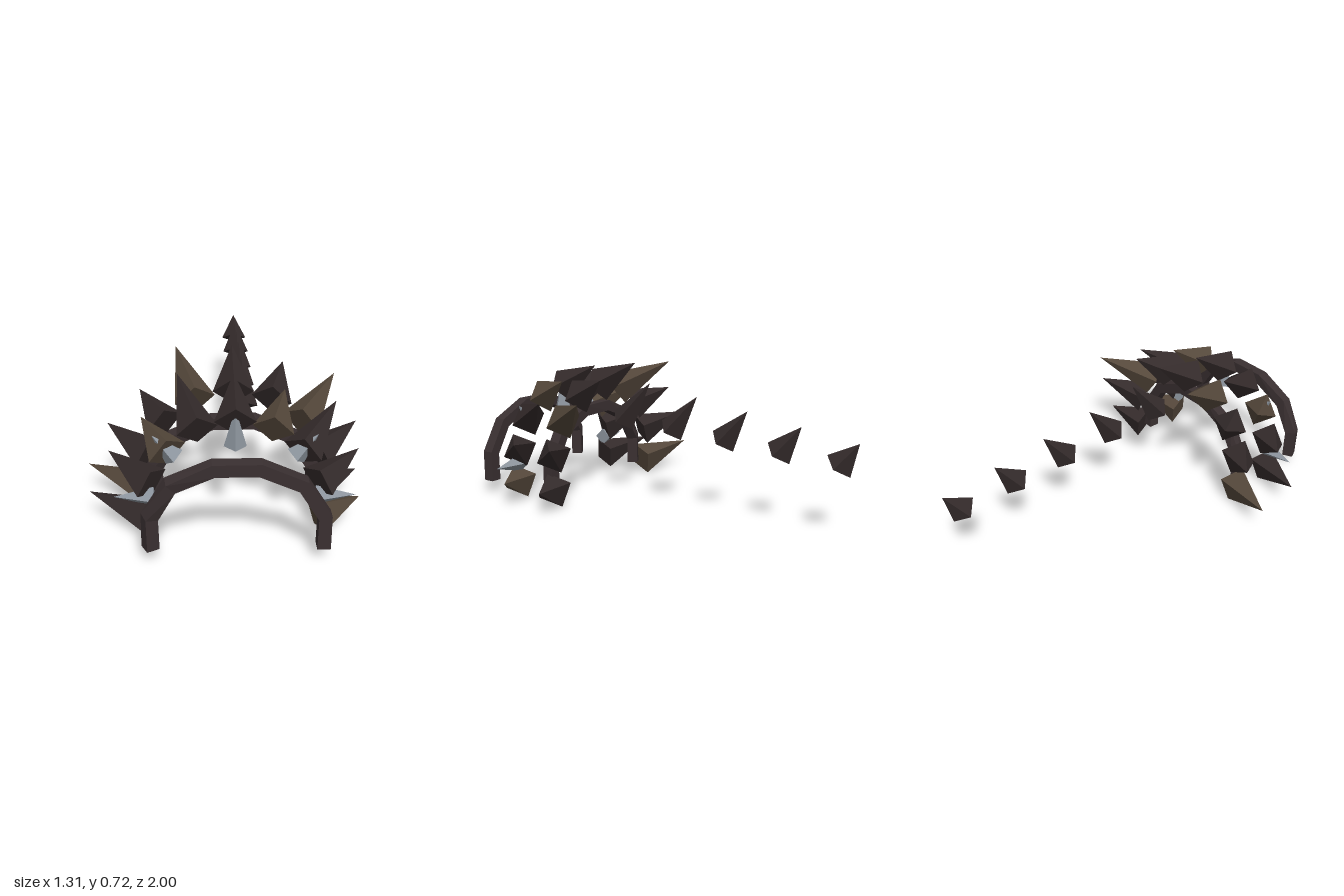
import * as THREE from 'three';

const mat = (name, color) => new THREE.MeshStandardMaterial({ name, color });

// Faceted copy of a geometry
function faceted(geometry) {
  const g = geometry.index ? geometry.toNonIndexed() : geometry;
  g.computeVertexNormals();
  return g;
}

// Four-sided spike whose base centre is the origin
function spike(radius, length, material, name) {
  const g = new THREE.ConeGeometry(radius, length, 4);
  g.translate(0, length / 2, 0);
  const m = new THREE.Mesh(faceted(g), material);
  m.name = name;
  return m;
}

const CX = 0.037; // middle of the arches and claw rows

// Square bar swept along an arch, twisting towards its right foot
function archGeometry() {
  const path = [
    [-0.366, 0.075], [-0.366, 0.228], [-0.277, 0.38], [-0.097, 0.46],
    [0.097, 0.46], [0.277, 0.38], [0.372, 0.228], [0.372, 0.075],
  ].map(([x, y]) => new THREE.Vector2(x, y));
  const twist = [0.5, 0.45, 0.2, 0.03, 0, 0, 0, 0];
  const half = 0.029;
  const pos = [], idx = [];
  path.forEach((p, i) => {
    const a = path[Math.max(i - 1, 0)], b = path[Math.min(i + 1, path.length - 1)];
    const t = b.clone().sub(a).normalize();
    const nx = -t.y, ny = t.x; // outward
    const c = Math.cos(twist[i]) * half, s = Math.sin(twist[i]) * half;
    for (const [u, v] of [[1, 1], [-1, 1], [-1, -1], [1, -1]]) {
      const r = u * c - v * s, z = u * s + v * c;
      pos.push(CX + p.x + nx * r, p.y + ny * r, z);
    }
  });
  for (let i = 0; i < path.length - 1; i++) {
    for (let k = 0; k < 4; k++) {
      const a = i * 4 + k, b = i * 4 + (k + 1) % 4;
      idx.push(a, b, b + 4, a, b + 4, a + 4);
    }
  }
  const e = (path.length - 1) * 4;
  idx.push(0, 2, 1, 0, 3, 2, e, e + 1, e + 2, e, e + 2, e + 3);
  const g = new THREE.BufferGeometry();
  g.setAttribute('position', new THREE.Float32BufferAttribute(pos, 3));
  g.setIndex(idx);
  return faceted(g);
}

export function createModel() {
  const model = new THREE.Group();
  model.name = 'spikedCollar';
  const archMat = mat('dark band', 0x3a3031);
  archMat.side = THREE.DoubleSide;
  const darkMat = mat('dark horn', 0x342b2b);
  const brownMat = mat('brown horn', 0x55483b);
  const silverMat = mat('silver', 0x8c949d);

  // Two bands
  const arch = archGeometry();
  [['frontBand', 0.955], ['rearBand', 0.53]].forEach(([name, z]) => {
    const m = new THREE.Mesh(arch, archMat);
    m.name = name;
    m.position.z = z;
    model.add(m);
  });

  // Two rows of nine claws, leaning back and fanning out
  const rows = [
    { name: 'frontClaws', z: 0.747, radius: 0.385, lengths: [0.32, 0.265, 0.225], size: 0.092, brown: 2 },
    { name: 'rearClaws', z: 0.49, radius: 0.412, lengths: [0.335, 0.275, 0.23], size: 0.094, brown: 0 },
  ];
  for (const row of rows) {
    const group = new THREE.Group();
    group.name = row.name;
    for (let i = 0; i < 9; i++) {
      const k = i - 4, ring = k * 0.447;
      const claw = spike(row.size, row.lengths[i % 3], i % 3 === row.brown ? brownMat : darkMat, 'claw');
      claw.position.set(CX + Math.sin(ring) * row.radius * 0.98, 0.18 + Math.cos(ring) * row.radius, row.z);
      claw.rotation.set(-1.06, 0, -k * 0.29);
      group.add(claw);
    }
    model.add(group);
  }

  // Silver studs between the front claws
  const studs = new THREE.Group();
  studs.name = 'silverStuds';
  const up = new THREE.Vector3(0, 1, 0);
  const addStud = (x, y, tx, ty) => {
    const d = new THREE.Vector3(tx - x, ty - y, 0);
    const s = spike(0.05, d.length(), silverMat, 'stud');
    s.position.set(CX + x, y, 0.75);
    s.quaternion.setFromUnitVectors(up, d.normalize());
    studs.add(s);
  };
  addStud(0, 0.45, 0, 0.63);
  for (const side of [-1, 1]) {
    addStud(side * 0.265, 0.4, side * 0.36, 0.505);
    addStud(side * 0.36, 0.2, side * 0.54, 0.2);
  }
  model.add(studs);

  // Row of shrinking back spines
  const spines = new THREE.Group();
  spines.name = 'backSpines';
  for (let i = 0; i < 5; i++) {
    const s = spike(0.073, 0.27 - 0.03 * i, darkMat, 'spine');
    s.position.set(0.09, 0.425 - 0.0225 * i, 0.292 - 0.3 * i);
    s.rotation.x = -0.68;
    spines.add(s);
  }
  model.add(spines);

  return model;
}
